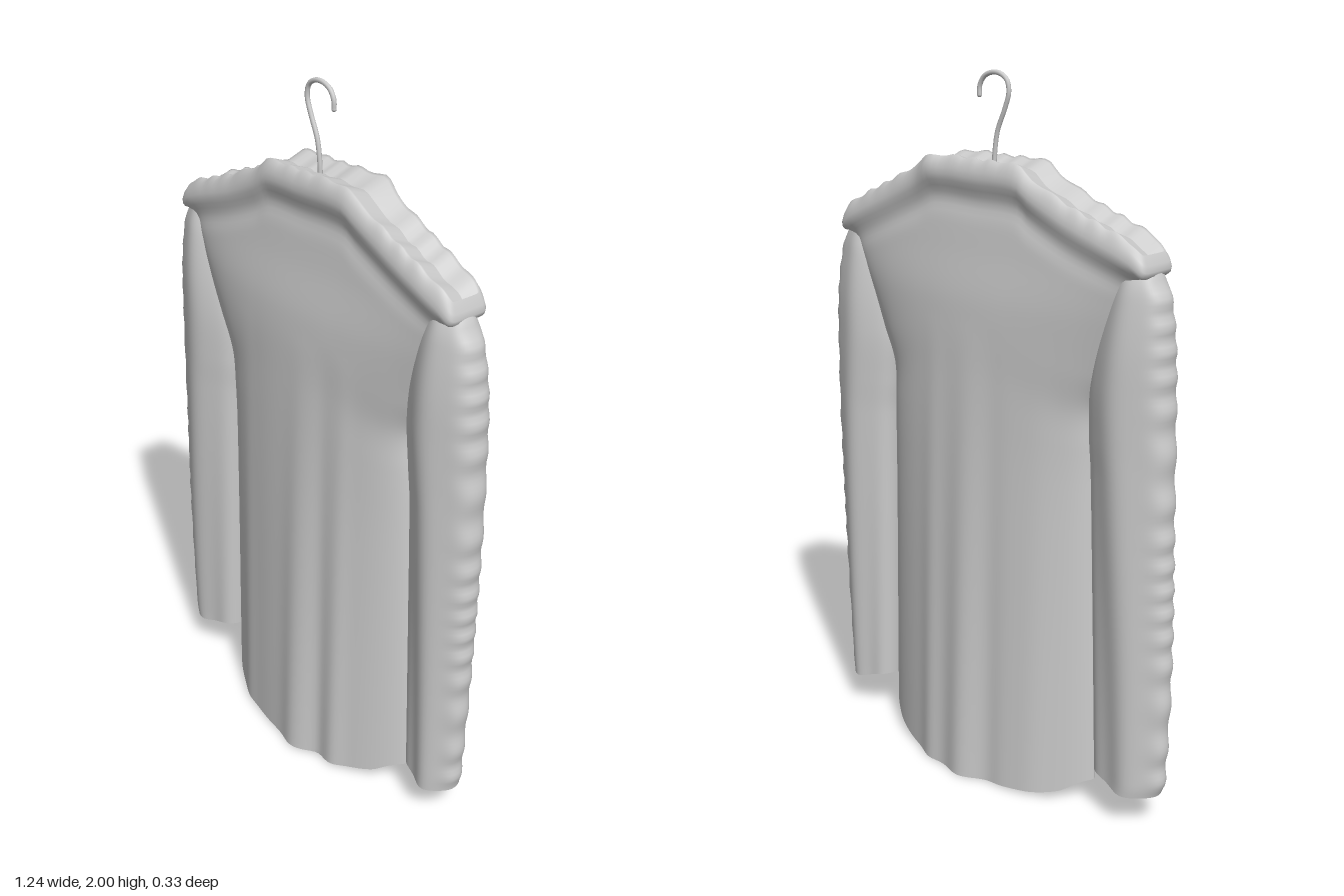
import * as THREE from 'three';

const material = new THREE.MeshStandardMaterial({ color: 0xcccccc, side: THREE.DoubleSide });

// Smooth interpolation through [key, value] pairs
function track(pairs) {
  return (k) => {
    const n = pairs.length - 1;
    if (k <= pairs[0][0]) return pairs[0][1];
    if (k >= pairs[n][0]) return pairs[n][1];
    let i = 0;
    while (k > pairs[i + 1][0]) i++;
    const [k0, v0] = pairs[i], [k1, v1] = pairs[i + 1];
    const slope = (j) => {
      const a = pairs[Math.max(j - 1, 0)], b = pairs[Math.min(j + 1, n)];
      return (b[1] - a[1]) / (b[0] - a[0]);
    };
    const h = k1 - k0, f = (k - k0) / h, f2 = f * f, f3 = f2 * f;
    return v0 * (2 * f3 - 3 * f2 + 1) + v1 * (3 * f2 - 2 * f3)
      + h * (slope(i) * (f3 - 2 * f2 + f) + slope(i + 1) * (f3 - f2));
  };
}

const bump = (v, centre, width) => Math.exp(-(((v - centre) / width) ** 2));
const signedPow = (v, e) => Math.sign(v) * Math.pow(Math.abs(v), e);

// Closed loops stacked from bottom to top; point(row, angle) gives [x, y, z]
function loft(name, rows, segs, point) {
  const pos = [], index = [];
  for (let j = 0; j <= rows; j++) {
    for (let i = 0; i < segs; i++) pos.push(...point(j, (i / segs) * Math.PI * 2));
  }
  for (let j = 0; j < rows; j++) {
    for (let i = 0; i < segs; i++) {
      const a = j * segs + i, b = j * segs + ((i + 1) % segs);
      index.push(a, a + segs, b, b, a + segs, b + segs);
    }
  }
  const geometry = new THREE.BufferGeometry();
  geometry.setAttribute('position', new THREE.Float32BufferAttribute(pos, 3));
  geometry.setIndex(index);
  geometry.computeVertexNormals();
  const mesh = new THREE.Mesh(geometry, material);
  mesh.name = name;
  return mesh;
}

// Shoulder line and hem, by x
const shoulderLine = track([[-0.55, 1.57], [-0.5, 1.615], [-0.3, 1.69], [-0.18, 1.745], [-0.14, 1.772],
  [0, 1.777], [0.16, 1.778], [0.21, 1.752], [0.32, 1.70], [0.5, 1.615], [0.55, 1.57]]);
const hemLine = track([[-0.4, 0.075], [-0.36, 0.065], [-0.3, 0.03], [-0.18, 0.012], [0, 0.004],
  [0.2, 0.012], [0.32, 0.035], [0.37, 0.065], [0.42, 0.08]]);
// Torso half width, depth and roundness, by y
const torsoWidth = track([[0.07, 0.392], [0.3, 0.386], [0.7, 0.374], [1.0, 0.366], [1.1, 0.368],
  [1.2, 0.41], [1.35, 0.465], [1.45, 0.495], [1.5, 0.512], [1.53, 0.538], [1.56, 0.545], [1.58, 0.53]]);
const torsoDepth = track([[0, 0.15], [0.4, 0.14], [0.8, 0.13], [1.2, 0.116], [1.4, 0.106],
  [1.55, 0.083], [1.66, 0.071], [1.78, 0.073]]);
const torsoPower = track([[0, 1.45], [0.8, 1.2], [1.2, 0.85], [1.4, 0.55], [1.5, 0.28], [1.58, 0.16]]);

function torso() {
  const side = 110, cap = 8;
  return loft('shirtBody', side + cap, 180, (j, a) => {
    const t = Math.min(j / side, 1);
    const edgeY = 0.07 + t * 1.51;
    const x = Math.cos(a) * torsoWidth(edgeY) + 0.012 * (1 - THREE.MathUtils.smoothstep(edgeY, 0.9, 1.3));
    const top = shoulderLine(x), y = THREE.MathUtils.lerp(hemLine(x), top, t);
    const s = top - y, front = Math.sin(a) >= 0;
    let depth = torsoDepth(y);
    // Hanging folds, strongest at the hem
    const fade = Math.pow(Math.max(0, 1 - y / 1.35), 0.8);
    depth += fade * (front
      ? 0.018 * bump(x, 0.06, 0.05) - 0.012 * bump(x, 0.14, 0.03) + 0.012 * bump(x, 0.21, 0.03) + 0.008 * bump(x, -0.2, 0.04)
      : 0.018 * bump(x, 0, 0.05) - 0.010 * bump(x, -0.09, 0.04) + 0.014 * bump(x, 0.13, 0.04) + 0.008 * bump(x, -0.24, 0.05));
    // Padded roll along the shoulder, with a pinch under it
    depth += 0.009 * bump(s, 0.05, 0.03) - 0.007 * bump(s, 0.115, 0.03);
    depth -= 0.012 * Math.exp(-s / 0.01);
    if (!front) depth += 0.014 * bump(x, 0.17, 0.035) * bump(s, 0, 0.06);
    let z = signedPow(Math.sin(a), torsoPower(edgeY)) * depth;
    // Top panel folds in and sags between front and back
    const q = Math.max(0, j - side) / cap;
    z *= 1 - q;
    const wrinkle = 0.004 * Math.sin(x * 75 + 2 * Math.sin(x * 17)) * Math.exp(-s / 0.02);
    return [x, y + wrinkle - 0.022 * q, z - 0.004 * THREE.MathUtils.smoothstep(y, 1.3, 1.6)];
  });
}

// Sleeve edges by y, as distance from the centre
const sleeveDepth = track([[0.1, 0.066], [0.5, 0.072], [1.0, 0.08], [1.3, 0.082], [1.48, 0.066], [1.57, 0.045]]);
const sleeves = [
  { name: 'leftSleeve', sign: 1,
    outer: track([[0.1, 0.592], [0.16, 0.597], [0.5, 0.609], [0.9, 0.614], [1.25, 0.608], [1.4, 0.596], [1.5, 0.572], [1.55, 0.54], [1.57, 0.52]]),
    inner: track([[0.1, 0.42], [0.6, 0.406], [1.0, 0.395], [1.1, 0.385], [1.25, 0.375], [1.45, 0.40], [1.57, 0.45]]) },
  { name: 'rightSleeve', sign: -1,
    outer: track([[0.1, 0.603], [0.14, 0.614], [0.5, 0.62], [0.9, 0.607], [1.25, 0.594], [1.4, 0.584], [1.5, 0.565], [1.55, 0.535], [1.57, 0.52]]),
    inner: track([[0.1, 0.395], [0.6, 0.376], [1.0, 0.36], [1.1, 0.352], [1.25, 0.355], [1.45, 0.40], [1.57, 0.45]]) },
];

function sleeve({ name, sign, outer, inner }) {
  const rows = 100;
  return loft(name, rows, 56, (j, a) => {
    const t = j / rows, c = Math.cos(a), out = c * sign;
    // Cuff rises slightly toward the body
    const y = THREE.MathUtils.lerp(0.112 + 0.02 * bump(out, -1, 0.8) - 0.006 * bump(out, 0.2, 0.5), 1.57, t);
    const mid = (outer(y) + inner(y)) / 2, half = (outer(y) - inner(y)) / 2;
    // Small creases down the outer edge
    const crease = 0.004 * Math.sin(y * 72 + 3 * Math.sin(y * 9)) * bump(out, 1, 0.25);
    const fold = 1 + 0.1 * Math.sin(out * 5 + y * 1.5) * (1 - 0.6 * t);
    const z = signedPow(Math.sin(a), 0.95) * sleeveDepth(y) * fold;
    return [sign * (mid + half * out + crease), y, z];
  });
}

// Wire hook rising from the collar
function hook() {
  const points = [[0.002, 1.74], [0, 1.785], [-0.01, 1.845], [-0.036, 1.905], [-0.049, 1.945], [-0.043, 1.975],
    [-0.02, 1.991], [0.01, 1.993], [0.038, 1.981], [0.053, 1.957], [0.054, 1.934]];
  const curve = new THREE.CatmullRomCurve3(points.map(([x, y]) => new THREE.Vector3(x, y, 0)));
  const group = new THREE.Group();
  group.name = 'hangerHook';
  const wire = new THREE.Mesh(new THREE.TubeGeometry(curve, 60, 0.0065, 10), material);
  wire.name = 'hookWire';
  const tip = new THREE.Mesh(new THREE.SphereGeometry(0.0066, 10, 8), material);
  tip.name = 'hookTip';
  tip.position.set(0.054, 1.934, 0);
  group.add(wire, tip);
  return group;
}

export function createModel() {
  const model = new THREE.Group();
  model.name = 'shirtOnHanger';
  model.add(torso(), ...sleeves.map(sleeve), hook());
  return model;
}
